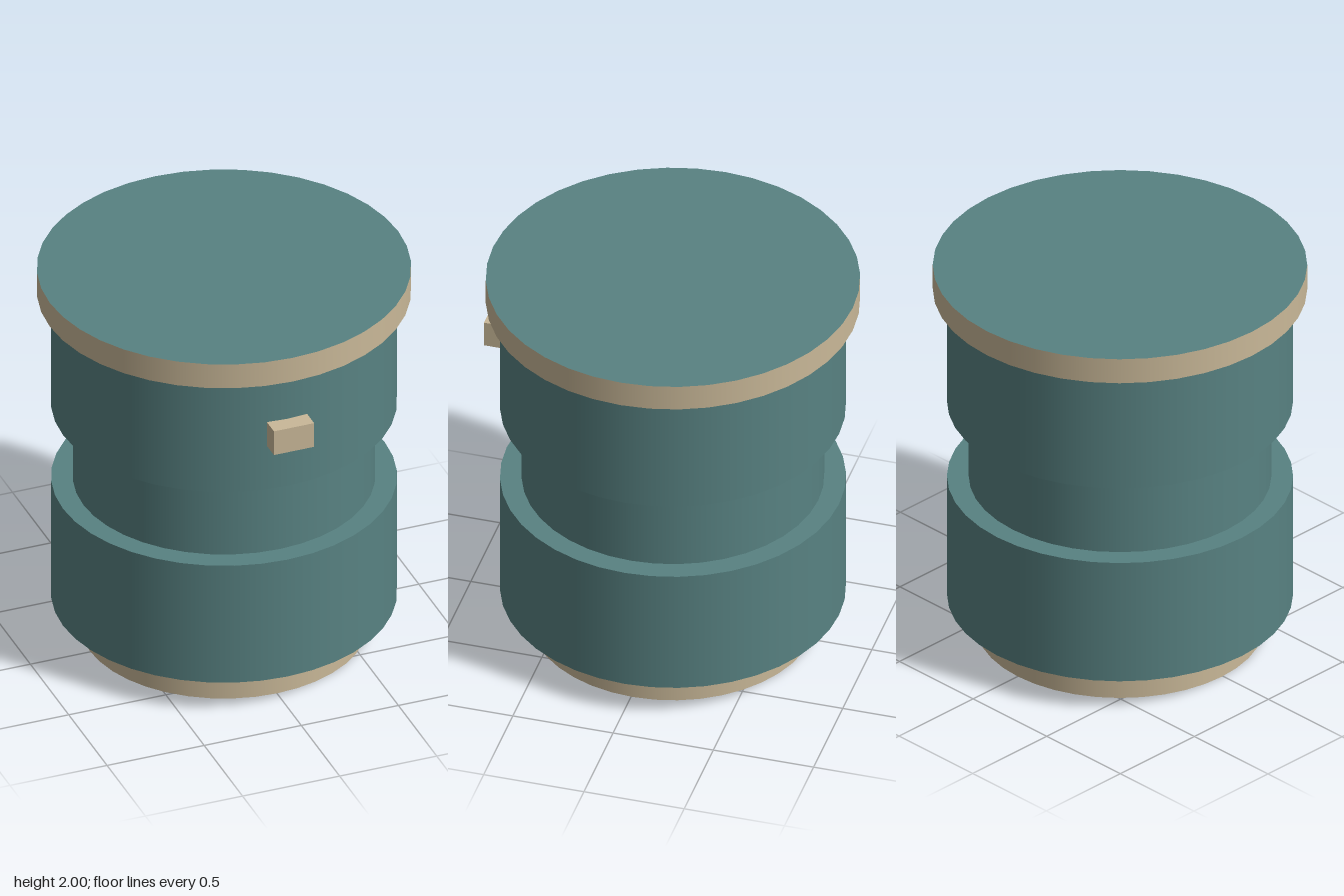
import * as THREE from 'three';

const SIDES = 40;
const AXIS_Z = -0.008; // the round body sits slightly back to balance the latch

export function createModel() {
  const teal = new THREE.MeshStandardMaterial({ color: 0x588282 });
  teal.name = 'teal';
  const tan = new THREE.MeshStandardMaterial({ color: 0xc9b898 });
  tan.name = 'tan';

  const model = new THREE.Group();
  model.name = 'canister';

  // Stacked drums: name, radius, bottom, top, [side, top, underside] colours
  const drums = [
    ['base', 0.691, 0, 0.173, [tan, tan, tan]],
    ['lowerBody', 0.829, 0.173, 0.829, [teal, teal, tan]],
    ['neck', 0.725, 0.829, 1.243, [teal, teal, teal]],
    ['upperBody', 0.829, 1.243, 1.867, [teal, teal, teal]],
    ['lid', 0.897, 1.867, 2, [tan, teal, tan]],
  ];
  for (const [name, radius, bottom, top, materials] of drums) {
    const geometry = new THREE.CylinderGeometry(radius, radius, top - bottom, SIDES);
    const drum = new THREE.Mesh(geometry, materials);
    drum.name = name;
    drum.position.set(0, (bottom + top) / 2, AXIS_Z);
    model.add(drum);
  }

  // Small block on the front of the upper body
  const latch = new THREE.Mesh(new THREE.BoxGeometry(0.207, 0.133, 0.095), tan);
  latch.name = 'latch';
  latch.position.set(0, 1.553, 0.8575);
  model.add(latch);

  return model;
}
